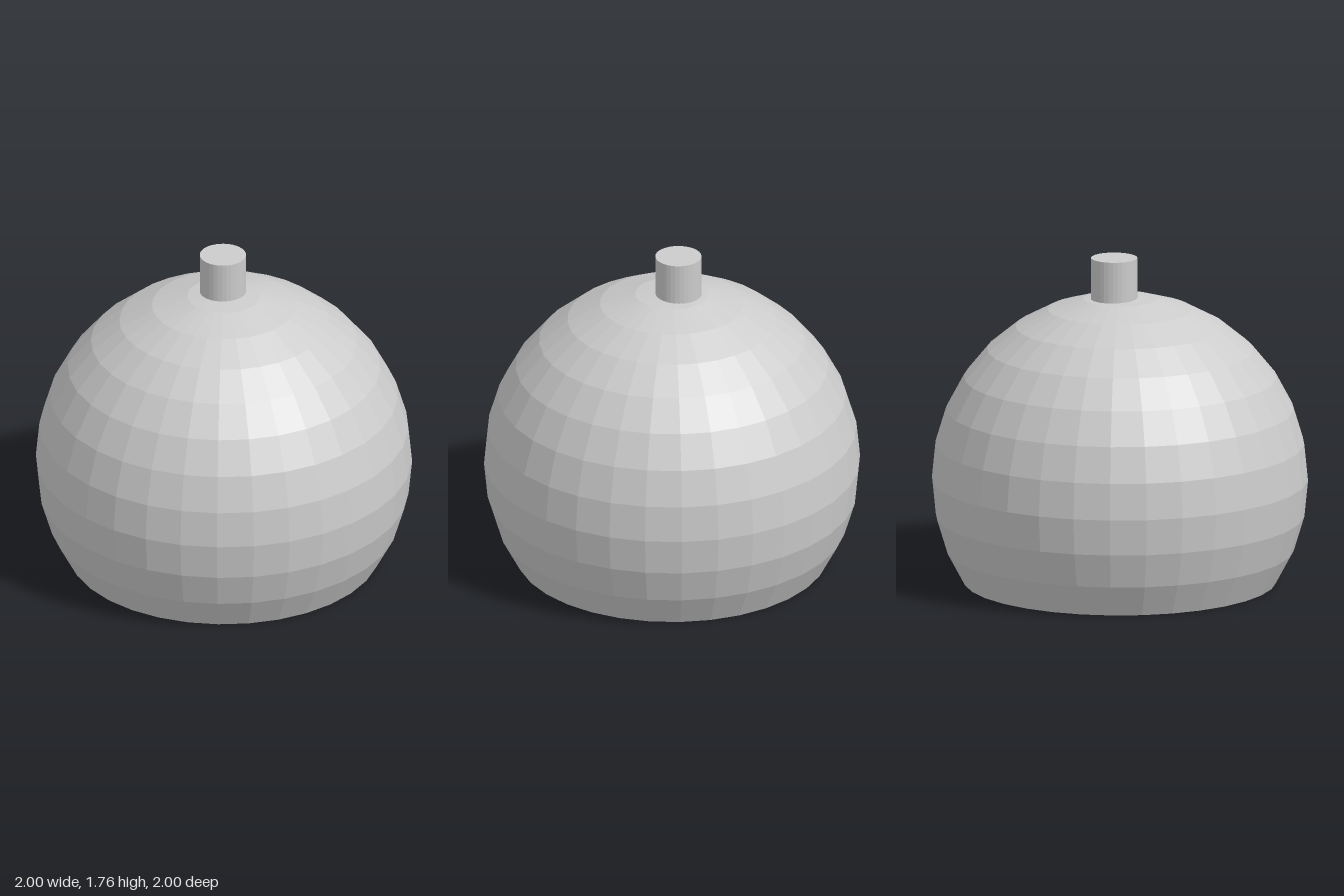
import * as THREE from 'three';

export function createModel() {
  const model = new THREE.Group();
  const step = Math.PI / 16;
  const centreY = Math.sin(3 * step); // the sphere is cut three rings below its equator

  // Open faceted globe shade, a thin single shell
  const shade = new THREE.Mesh(
    new THREE.SphereGeometry(1, 32, 11, 0, Math.PI * 2, 0, 11 * step),
    new THREE.MeshStandardMaterial({ color: 0xcccccc, flatShading: true, side: THREE.DoubleSide })
  );
  shade.name = 'shade';
  shade.position.y = centreY;
  model.add(shade);

  // Cable neck on top, set slightly towards the back
  const bottom = 1.54, top = 1.763;
  const neck = new THREE.Mesh(
    new THREE.CylinderGeometry(0.123, 0.123, top - bottom, 32),
    new THREE.MeshStandardMaterial({ color: 0xcccccc, flatShading: true })
  );
  neck.name = 'neck';
  neck.position.set(0, (top + bottom) / 2, -0.036);
  model.add(neck);

  return model;
}

// The equator ring sits 3 * 11.25 degrees above the rim: sin(33.75) = 0.556
